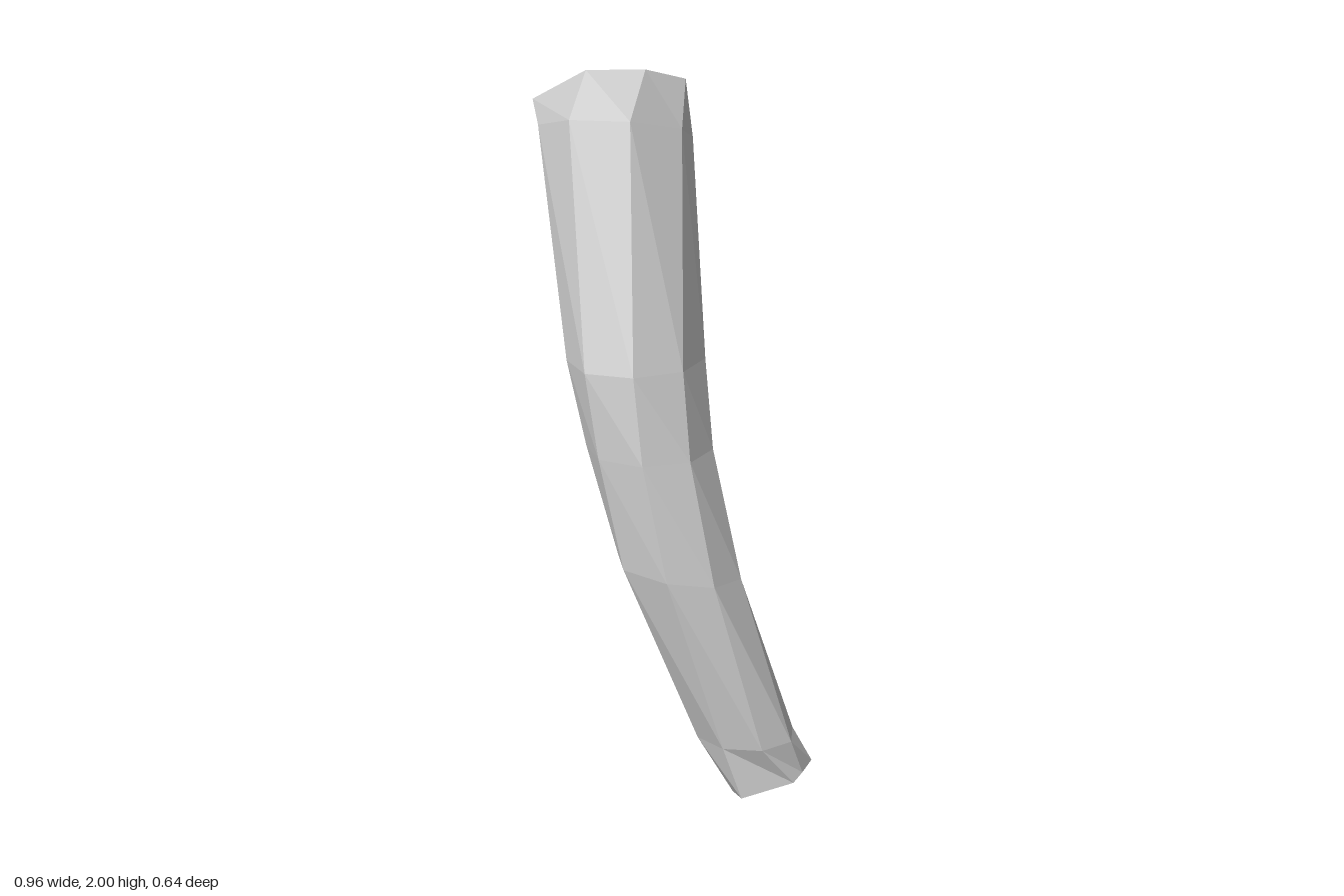
import * as THREE from 'three';

const SIDES = 8;

// Corners of the two cut ends, counted from +x towards +z
const FOOT = [
  [0.48, 0.1, 0.05], [0.48, 0.09, 0.1], [0.36, 0.04, 0.18], [0.3, 0.02, 0.13],
  [0.25, 0, 0.06], [0.265, 0.03, -0.01], [0.28, 0.05, -0.055], [0.475, 0.11, -0.01],
];
const TOP = [
  [-0.045, 1.97, -0.14], [-0.105, 2, -0.035], [-0.23, 2, 0.065], [-0.45, 1.905, 0.02],
  [-0.48, 1.87, -0.05], [-0.43, 1.845, -0.235], [-0.175, 1.86, -0.325], [-0.105, 1.93, -0.22],
];

// Cross-sections between them: centre, radii, slope of the cut, twist, bulge on the outer bend
const SECTIONS = [
  { c: [0.31, 0.19, 0.083], r: [0.15, 0.118], slope: [0.1, 0], twist: 0, bulge: 0 },
  { c: [0.135, 0.68, 0.152], r: [0.177, 0.152], slope: [-0.05, 0.1], twist: -0.3, bulge: 0.1 },
  { c: [0.032, 1.01, 0.15], r: [0.174, 0.172], slope: [0, 0], twist: 0.3, bulge: 0.02 },
  { c: [-0.03, 1.24, 0.11], r: [0.174, 0.197], slope: [0, 0], twist: 0.2, bulge: 0.1 },
  { c: [-0.24, 1.82, -0.085], r: [0.22, 0.215], slope: [0.1, 0.25], twist: 0, bulge: 0 },
];

function sectionRing({ c, r, slope, twist, bulge }) {
  return Array.from({ length: SIDES }, (_, j) => {
    const t = (j / SIDES) * Math.PI * 2 + twist;
    const outer = Math.cos(t) < 0 && Math.sin(t) > 0;
    const scale = outer ? 1 - bulge * Math.sin(2 * t) : 1;
    const dx = Math.cos(t) * r[0] * scale, dz = Math.sin(t) * r[1] * scale;
    return [c[0] + dx, c[1] + dx * slope[0] + dz * slope[1], c[2] + dz];
  });
}

function facetMesh(name, points, material) {
  const geometry = new THREE.BufferGeometry();
  geometry.setAttribute('position', new THREE.Float32BufferAttribute(points.flat(), 3));
  geometry.computeVertexNormals();
  const mesh = new THREE.Mesh(geometry, material);
  mesh.name = name;
  return mesh;
}

// Fan of triangles from the middle of a ring
function fan(ring, facingUp) {
  const centre = [0, 1, 2].map((k) => ring.reduce((sum, p) => sum + p[k], 0) / SIDES);
  return ring.flatMap((p, j) => {
    const next = ring[(j + 1) % SIDES];
    return facingUp ? [centre, next, p] : [centre, p, next];
  });
}

export function createModel() {
  const group = new THREE.Group();
  group.name = 'bentBranch';
  const grey = new THREE.MeshStandardMaterial({ color: 0xcccccc });
  grey.name = 'paleGrey';
  grey.flatShading = true;

  // Faceted bark between neighbouring rings, split along the shorter diagonal
  const rings = [FOOT, ...SECTIONS.map(sectionRing), TOP];
  const twists = [0, ...SECTIONS.map((s) => s.twist), 0];
  const bark = [];
  for (let i = 0; i < rings.length - 1; i++) {
    for (let j = 0; j < SIDES; j++) {
      const k = (j + 1) % SIDES;
      const a = rings[i][j], b = rings[i][k], c = rings[i + 1][j], d = rings[i + 1][k];
      if (twists[i + 1] > twists[i]) bark.push(a, c, b, b, c, d);
      else bark.push(a, c, d, a, d, b);
    }
  }

  group.add(
    facetMesh('bark', bark, grey),
    facetMesh('footEnd', fan(FOOT, false), grey),
    facetMesh('topEnd', fan(TOP, true), grey),
  );
  return group;
}
